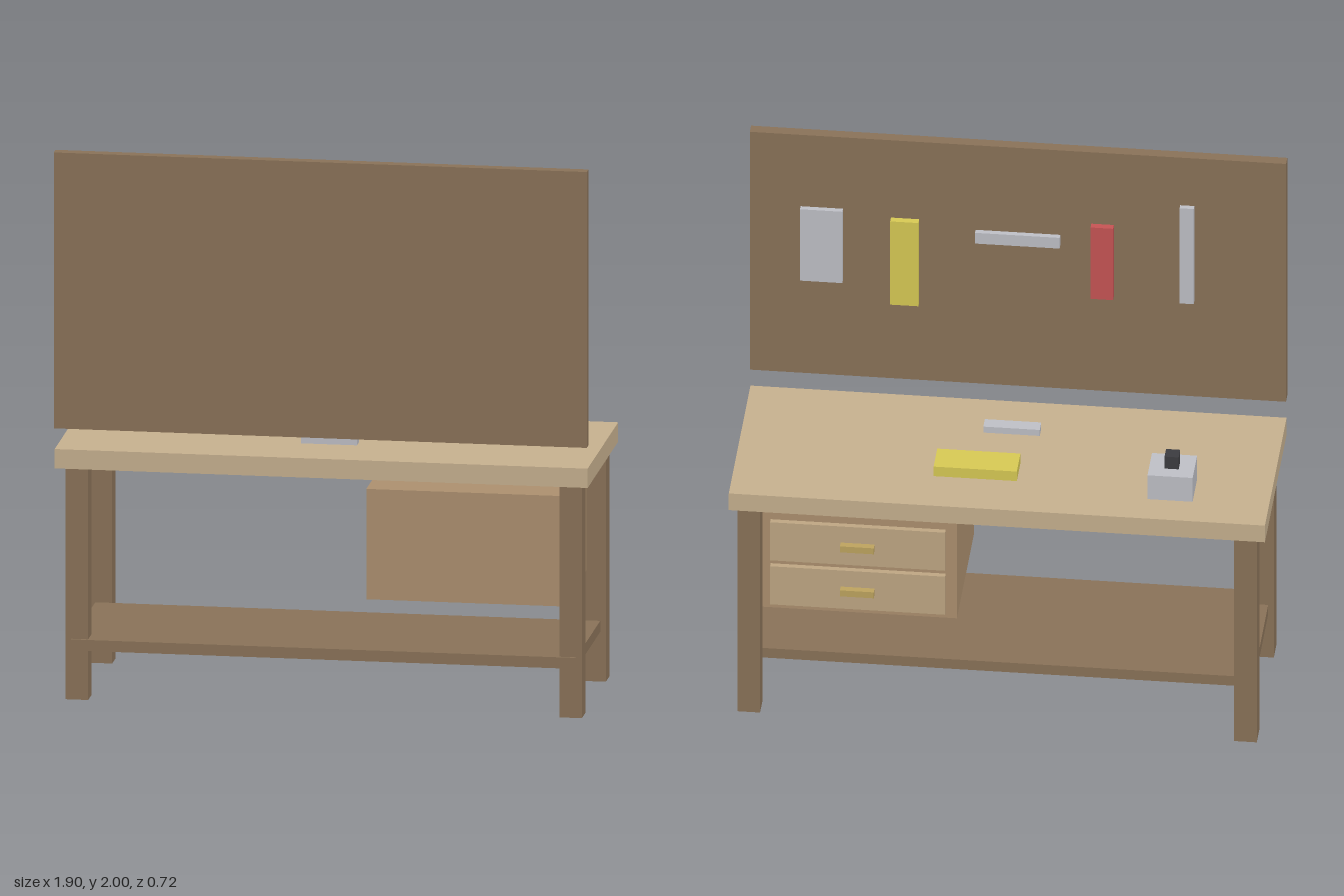
import * as THREE from 'three';

const material = (color) => new THREE.MeshStandardMaterial({ color });
const darkWood = material(0x8b7359);
const topWood = material(0xc8b290);
const cabinetWood = material(0xae9170);
const drawerWood = material(0xc0a884);
const brass = material(0xbfa560);
const steel = material(0xc0c1c8);
const yellow = material(0xd9cb55);
const red = material(0xc85555);
const black = material(0x3c3c40);

// Box given by its extents [min, max] along each axis
function slab(parent, name, mat, [x0, x1], [y0, y1], [z0, z1]) {
  const mesh = new THREE.Mesh(new THREE.BoxGeometry(x1 - x0, y1 - y0, z1 - z0), mat);
  mesh.position.set((x0 + x1) / 2, (y0 + y1) / 2, (z0 + z1) / 2);
  mesh.name = name;
  parent.add(mesh);
  return mesh;
}

function group(parent, name) {
  const g = new THREE.Group();
  g.name = name;
  parent.add(g);
  return g;
}

export function createModel() {
  const model = new THREE.Group();
  model.name = 'workbench';

  // Bench frame
  slab(model, 'benchTop', topWood, [-0.95, 0.95], [0.85, 0.92], [-0.36, 0.34]);
  const legs = group(model, 'legs');
  for (const x of [-0.88, 0.88]) {
    for (const z of [-0.31, 0.24]) {
      slab(legs, 'leg', darkWood, [x - 0.04, x + 0.04], [0, 0.85], [z - 0.04, z + 0.04]);
    }
  }
  slab(model, 'lowerShelf', darkWood, [-0.9, 0.9], [0.18, 0.22], [-0.27, 0.29]);

  // Drawer cabinet, opening toward the working side (-z)
  const cabinet = group(model, 'drawerCabinet');
  slab(cabinet, 'cabinetBody', cabinetWood, [0.15, 0.85], [0.4, 0.8], [-0.28, 0.27]);
  for (const y of [0.505, 0.69]) {
    slab(cabinet, 'drawerFront', drawerWood, [0.19, 0.81], [y - 0.08, y + 0.08], [-0.3, -0.28]);
    slab(cabinet, 'drawerHandle', brass, [0.44, 0.56], [y - 0.0125, y + 0.0125], [-0.325, -0.3]);
  }

  // Tool board and the tools hung on it
  slab(model, 'toolBoard', darkWood, [-0.95, 0.95], [1, 2], [0.32, 0.36]);
  const tools = group(model, 'hangingTools');
  slab(tools, 'wideTool', steel, [0.62, 0.77], [1.4, 1.7], [0.3, 0.32]);
  slab(tools, 'yellowTool', yellow, [0.35, 0.45], [1.325, 1.675], [0.295, 0.32]);
  slab(tools, 'levelTool', steel, [-0.15, 0.15], [1.6, 1.645], [0.3, 0.32]);
  slab(tools, 'redTool', red, [-0.34, -0.26], [1.4, 1.7], [0.295, 0.32]);
  slab(tools, 'slimTool', steel, [-0.625, -0.575], [1.4, 1.8], [0.3, 0.32]);

  // Items on the bench top
  const items = group(model, 'benchItems');
  slab(items, 'viseBody', steel, [-0.68, -0.52], [0.92, 1.02], [-0.235, -0.09]);
  slab(items, 'viseKnob', black, [-0.625, -0.575], [1.02, 1.07], [-0.185, -0.135]);
  slab(items, 'yellowBlock', yellow, [-0.05, 0.245], [0.92, 0.96], [-0.17, -0.053]);
  slab(items, 'steelBar', steel, [-0.1, 0.1], [0.93, 0.955], [0.113, 0.162]);

  return model;
}
